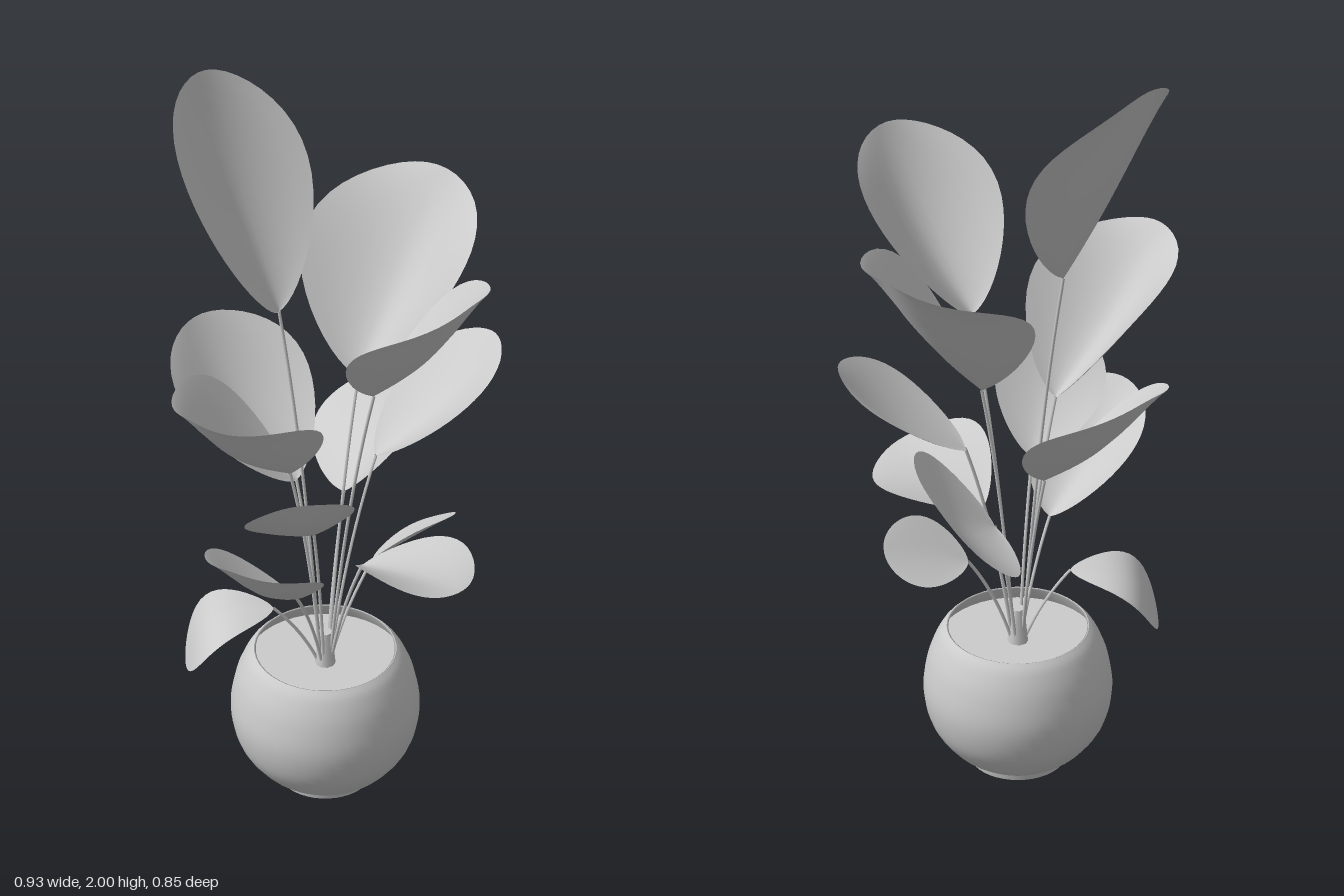
import * as THREE from 'three';

const grey = new THREE.MeshStandardMaterial({ color: 0xcccccc, side: THREE.DoubleSide });
const V = (a) => new THREE.Vector3(...a);
const CENTRE = [0.005, -0.025]; // x, z of the pot axis

function part(geometry, name) {
  const mesh = new THREE.Mesh(geometry, grey);
  mesh.name = name;
  return mesh;
}

// Broad blade from base to tip: short point at the stalk, round at the end.
// half = half width, fold = how far the edges cup up near the stalk (flat at
// the tip), bend = bow of the midrib.
function bladeGeometry({ base, tip, side, half, fold = 0.65, bend = -0.025 }) {
  const rows = 24, cols = 12;
  const b = V(base), axis = V(tip).sub(b);
  const dir = axis.clone().normalize();
  const across = V(side).addScaledVector(dir, -V(side).dot(dir)).normalize();
  const normal = new THREE.Vector3().crossVectors(across, dir);
  if (normal.y < 0) { normal.negate(); across.negate(); }
  const pos = [], index = [];
  for (let i = 0; i <= rows; i++) {
    const t = (1 - Math.cos((Math.PI * i) / rows)) / 2; // denser toward both ends
    const w = half * Math.sqrt(Math.max(0, Math.sin(Math.PI * Math.pow(t, 1.3))));
    for (let j = 0; j <= cols; j++) {
      const v = (j / cols) * 2 - 1;
      const lift = fold * (1 - t ** 3) * w * Math.pow(Math.abs(v), 1.6) + bend * Math.sin(Math.PI * t);
      const p = b.clone().addScaledVector(axis, t)
        .addScaledVector(across, w * v).addScaledVector(normal, lift);
      pos.push(p.x, p.y, p.z);
      if (i < rows && j < cols) {
        const a = i * (cols + 1) + j, c = a + cols + 1;
        index.push(a, a + 1, c, a + 1, c + 1, c);
      }
    }
  }
  const g = new THREE.BufferGeometry();
  g.setAttribute('position', new THREE.Float32BufferAttribute(pos, 3));
  g.setIndex(index);
  g.computeVertexNormals();
  return g;
}

// Thin stalk leaving the soil steeply and leaning out to the blade
function stalkGeometry(base) {
  const end = V(base);
  const out = new THREE.Vector3(end.x - CENTRE[0], 0, end.z - CENTRE[1]).normalize();
  const start = new THREE.Vector3(CENTRE[0] + out.x * 0.012, 0.32, CENTRE[1] + out.z * 0.012);
  const mid = start.clone().lerp(end, 0.36);
  mid.y = THREE.MathUtils.lerp(start.y, end.y, 0.58);
  const curve = new THREE.QuadraticBezierCurve3(start, mid, end);
  return new THREE.TubeGeometry(curve, 12, 0.004, 6);
}

const LEAVES = [
  // tall crown
  { name: 'topLeaf', base: [-0.055, 1.38, -0.12], tip: [-0.1, 2, -0.36], side: [1, 0, 0], half: 0.193, fold: 0.58, bend: -0.015 },
  { name: 'frontLeaf', base: [0.015, 1.2, 0.12], tip: [0.03, 1.615, 0.42], side: [1, 0, 0], half: 0.19 },
  { name: 'leftLeaf', base: [0.14, 1.11, -0.035], tip: [0.46, 1.56, -0.025], side: [0, 0, 1], half: 0.225, fold: 0.82, bend: -0.02 },
  { name: 'rightLeaf', base: [-0.12, 0.97, -0.03], tip: [-0.465, 1.32, -0.05], side: [0, 0, 1], half: 0.175, fold: 1, bend: -0.03 },
  { name: 'backLeaf', base: [0.01, 0.83, -0.12], tip: [-0.03, 1.18, -0.43], side: [1, 0, 0], half: 0.195, fold: 0.5 },
  // middle ring
  { name: 'middleFrontLeftLeaf', base: [0.13, 0.91, 0.03], tip: [0.41, 1.18, 0.18], side: [-0.5, 0.1, 0.87], half: 0.15, fold: 0.4 },
  { name: 'middleBackLeftLeaf', base: [0.14, 0.74, -0.08], tip: [0.4, 0.93, -0.15], side: [0.05, 0.22, 0.28], half: 0.2, fold: 0.25 },
  { name: 'middleFrontRightLeaf', base: [-0.09, 0.79, 0.02], tip: [-0.3, 1.045, 0.12], side: [0.5, 0.3, 0.7], half: 0.135, fold: 0.25 },
  { name: 'middleRightLeaf', base: [-0.13, 0.61, 0], tip: [-0.41, 0.87, 0.03], side: [0.2, 0, 1], half: 0.145, fold: 0.6 },
  // low small leaves
  { name: 'lowFrontLeaf', base: [0.02, 0.665, 0.08], tip: [0.03, 0.72, 0.375], side: [1, -0.2, 0], half: 0.155, fold: 0.38, bend: 0.01 },
  { name: 'lowLeftLeaf', base: [0.13, 0.59, 0.02], tip: [0.32, 0.67, 0.12], side: [-0.3, 0.6, 0.7], half: 0.095, fold: 0.2, bend: 0 },
  { name: 'droopingLeaf', base: [-0.1, 0.515, -0.1], tip: [-0.25, 0.36, -0.25], side: [-1, 0, 1], half: 0.115, fold: -0.08, bend: 0.07 },
];

export function createModel() {
  const model = new THREE.Group();
  model.name = 'pottedPlant';

  // Round pot on a small foot
  const pot = new THREE.Group();
  pot.name = 'pot';
  const wall = new THREE.SplineCurve([
    [0.118, 0.014], [0.165, 0.05], [0.21, 0.115], [0.228, 0.2],
    [0.216, 0.285], [0.192, 0.345], [0.172, 0.37],
  ].map((p) => new THREE.Vector2(...p))).getPoints(28);
  const foot = new THREE.CylinderGeometry(0.118, 0.115, 0.016, 40).translate(0, 0.008, 0);
  const lining = new THREE.LatheGeometry(
    [[0.172, 0.37], [0.168, 0.368], [0.192, 0.325]].map((p) => new THREE.Vector2(...p)), 40);
  const soil = new THREE.CircleGeometry(0.192, 40).rotateX(-Math.PI / 2).translate(0, 0.328, 0);
  pot.add(part(new THREE.LatheGeometry(wall, 40), 'potBody'), part(foot, 'potFoot'),
    part(lining, 'potLining'), part(soil, 'soil'));

  // Short trunk where the stalks meet
  const trunk = part(new THREE.CylinderGeometry(0.016, 0.026, 0.1, 10).translate(0, 0.37, 0), 'trunk');
  pot.add(trunk);
  pot.position.set(CENTRE[0], 0, CENTRE[1]);
  model.add(pot);

  // Leaves, each with its own stalk
  for (const spec of LEAVES) {
    const leaf = new THREE.Group();
    leaf.name = spec.name;
    leaf.add(part(bladeGeometry(spec), 'blade'), part(stalkGeometry(spec.base), 'stalk'));
    model.add(leaf);
  }
  return model;
}
